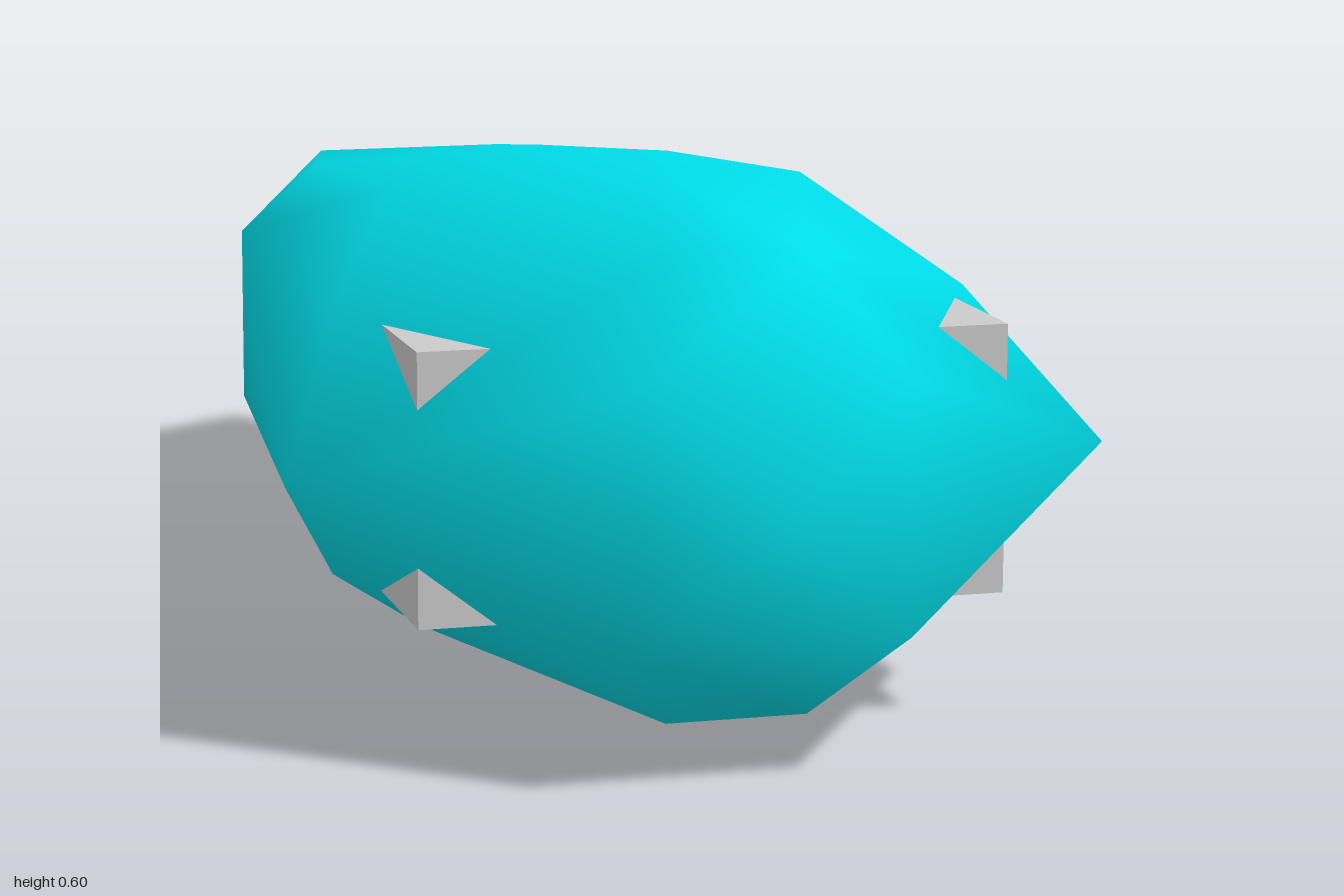
import * as THREE from 'three';
import { mergeVertices } from 'three/addons/utils/BufferGeometryUtils.js';
import { ConvexGeometry } from 'three/addons/geometries/ConvexGeometry.js';

const MID = 0.3; // height of the body's axis

// Corners of one side of the shell, nose to tail: x, height above the axis, z
const SHARED = [ // also mirrored from top to bottom
  [0, 0, 1],
  [0.15, 0.14, 0.94],
  [0.08, 0.256, 0.8],
  [0.47, 0, 0.67],
  [0, 0.3, 0.48],
  [0.375, 0.15, 0.465],
  [0.385, 0, 0.07],
  [0.315, 0.11, -0.38],
  [0.25, 0, -0.72],
  [0.125, 0.155, -0.78],
  [0, 0, -1],
];
const TOP = [
  [0.255, 0.252, 0.22],
  [0, 0.255, -0.07],
  [0.235, 0.21, -0.28],
];
const BOTTOM = [
  [0.25, -0.242, 0.37],
  [0, -0.215, -0.13],
  [0.16, -0.192, -0.3],
];

function bodyGeometry() {
  const flipped = SHARED.filter(([, y]) => y > 0).map(([x, y, z]) => [x, -y, z]);
  const points = [];
  for (const [x, y, z] of [...SHARED, ...flipped, ...TOP, ...BOTTOM]) {
    points.push(new THREE.Vector3(x, MID + y, z));
    if (x > 0) points.push(new THREE.Vector3(-x, MID + y, z));
  }
  // Join the corners so that the shell is shaded smoothly
  const geometry = new ConvexGeometry(points);
  geometry.deleteAttribute('normal');
  const merged = mergeVertices(geometry, 1e-4);
  merged.computeVertexNormals();
  return merged;
}

export function createModel() {
  const model = new THREE.Group();

  // Smooth, tapering shell
  const body = new THREE.Mesh(bodyGeometry(), new THREE.MeshStandardMaterial({ color: 0x00dce8 }));
  body.name = 'body';
  model.add(body);

  // Inner block whose front corners break through the shell
  const core = new THREE.Mesh(
    new THREE.BoxGeometry(0.67, 0.305, 0.52),
    new THREE.MeshStandardMaterial({ color: 0xcccccc })
  );
  core.name = 'innerBlock';
  core.position.set(0, 0.2975, 0.46);
  model.add(core);

  return model;
}
